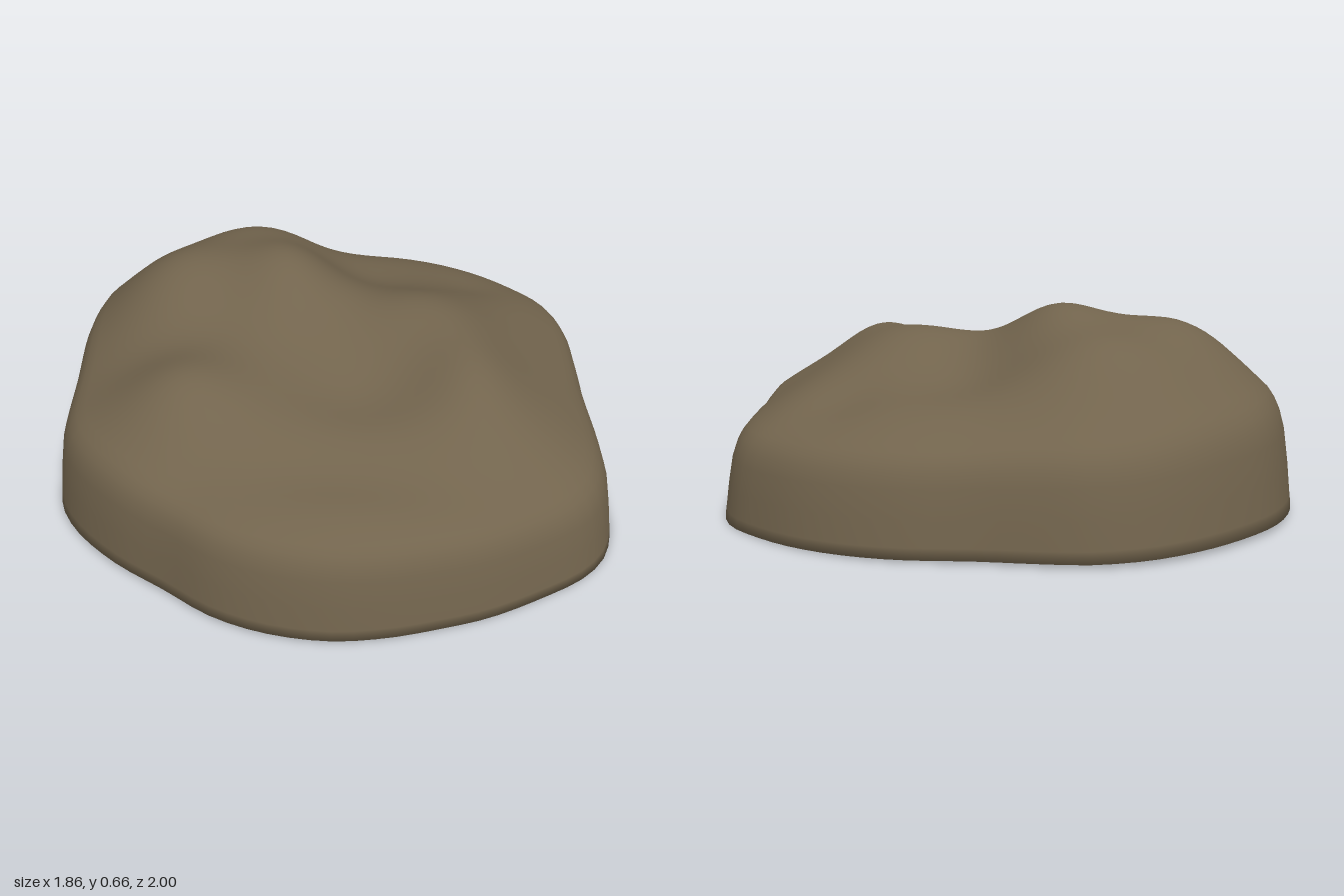
import * as THREE from 'three';

// Footprint of the rock (x, z), clockwise seen from above
const OUTLINE = [
  [-0.25, -1], [-0.12, -0.99], [0.08, -0.96], [0.3, -0.94], [0.47, -0.89], [0.62, -0.81],
  [0.74, -0.71], [0.85, -0.58], [0.9, -0.42], [0.91, -0.2], [0.91, 0], [0.925, 0.3],
  [0.92, 0.46], [0.88, 0.6], [0.8, 0.7], [0.65, 0.8], [0.48, 0.89], [0.33, 0.94],
  [0.18, 0.98], [0, 1], [-0.2, 0.97], [-0.37, 0.9], [-0.52, 0.79], [-0.7, 0.66],
  [-0.85, 0.5], [-0.92, 0.35], [-0.935, 0], [-0.935, -0.28], [-0.9, -0.47],
  [-0.83, -0.62], [-0.72, -0.75], [-0.58, -0.87], [-0.42, -0.96],
];

// Humps and hollows on the top: x, z, width, depth, height
const BUMPS = [
  [-0.57, -0.29, 0.28, 0.3, 0.17],   // left hump
  [-0.16, -0.25, 0.21, 0.28, 0.16],  // summit
  [-0.32, -0.63, 0.27, 0.2, 0.11],   // back shoulder
  [-0.5, 0.36, 0.22, 0.2, 0.09],     // front left knob
  [0.3, -0.08, 0.25, 0.22, 0.08],    // right ridge
  [0.46, 0.25, 0.17, 0.27, 0.075],   // right rim
  [0.08, 0.34, 0.22, 0.2, -0.05],    // middle hollow
  [0.05, 0.66, 0.45, 0.14, -0.045],  // front groove
  [0.12, -0.47, 0.24, 0.2, -0.04],   // back hollow
  [0.5, -0.5, 0.14, 0.16, -0.025],   // back right hollow
];

// Height of the top at (x, z); s is the fraction of the way out to the edge
function topHeight(x, z, s) {
  const rim = 0.255 - 0.035 * x; // the left edge stands higher
  let h = rim + (0.48 - rim) * (1 - s ** 3);
  for (const [bx, bz, w, d, a] of BUMPS) {
    h += a * Math.exp(-(((x - bx) / w) ** 2) - ((z - bz) / d) ** 2);
  }
  return h;
}

function rockGeometry() {
  const N = 96;
  const curve = new THREE.CatmullRomCurve3(
    OUTLINE.map(([x, z]) => new THREE.Vector3(x, 0, z)), true);
  const edge = curve.getSpacedPoints(N).slice(0, N);

  // Rings from the underside centre, up the wall and in to the top: [scale, height fraction]
  const rings = [[0, 0], [0.5, 0], [0.9, 0], [0.97, 0], [1, 0], [0.995, 0.14],
    [0.985, 0.45], [0.97, 0.77], [0.955, 0.9], [0.938, 0.965]];
  const TOP = 30;
  for (let i = 0; i <= TOP; i++) rings.push([0.915 * (1 - i / TOP), 1]);
  const last = rings.length - 1;

  const positions = [];
  rings.forEach(([s, f], r) => {
    const count = r === 0 || r === last ? 1 : N;
    for (let i = 0; i < count; i++) {
      const x = edge[i].x * s, z = edge[i].z * s;
      const base = 0.01 - 0.0105 * x; // underside tilts slightly
      positions.push(x, base + f * (topHeight(x, z, s) - base), z);
    }
  });

  const id = (r, i) => (r === 0 ? 0 : 1 + (r - 1) * N + (r === last ? 0 : i % N));
  const index = [];
  for (let r = 0; r < last; r++) {
    for (let i = 0; i < N; i++) {
      const a = id(r, i), b = id(r, i + 1), c = id(r + 1, i + 1), d = id(r + 1, i);
      if (r < last - 1) index.push(a, d, c);
      if (r > 0) index.push(a, c, b);
    }
  }
  const geometry = new THREE.BufferGeometry();
  geometry.setAttribute('position', new THREE.Float32BufferAttribute(positions, 3));
  geometry.setIndex(index);
  geometry.computeVertexNormals();
  return geometry;
}

export function createModel() {
  const stone = new THREE.MeshStandardMaterial({ color: 0x72644d });
  stone.name = 'brown stone';
  const rock = new THREE.Mesh(rockGeometry(), stone);
  rock.name = 'rock';
  const group = new THREE.Group();
  group.name = 'boulder';
  group.add(rock);
  return group;
}
